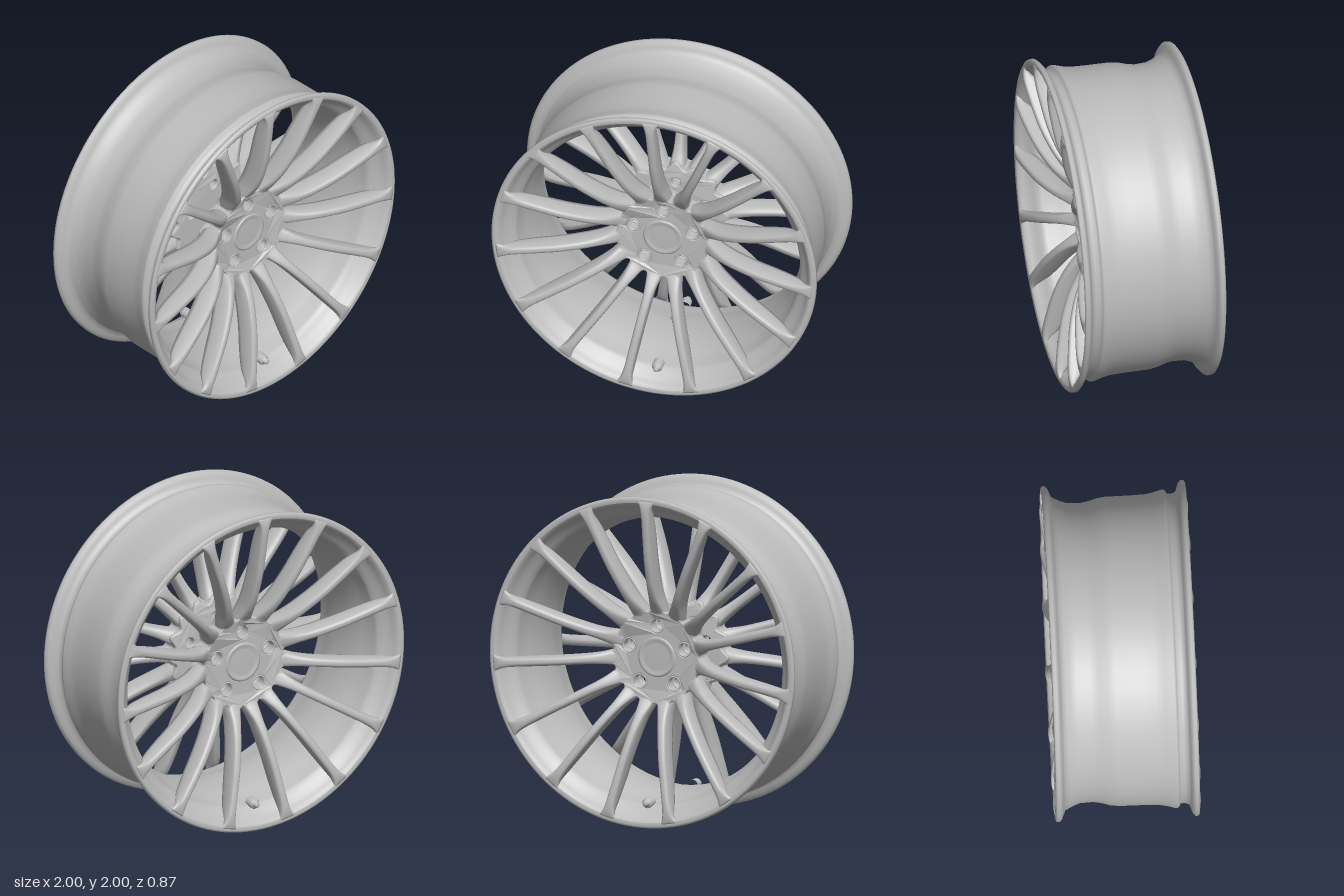
import * as THREE from 'three';

const V2 = (x, y) => new THREE.Vector2(x, y);
const metal = new THREE.MeshStandardMaterial({ color: 0xbdbdbd });
metal.name = 'satin grey metal';

const BOLT_CIRCLE = 0.19;
const boltAngles = [0, 1, 2, 3, 4].map((k) => Math.PI / 2 + (k * Math.PI * 2) / 5);

function part(name, geometry) {
  const mesh = new THREE.Mesh(geometry, metal);
  mesh.name = name;
  return mesh;
}

// Profile of [radius, z] pairs, turned around the z axis
function turned(profile, segments) {
  return new THREE.LatheGeometry(profile.map(([r, z]) => V2(r, z)), segments).rotateX(Math.PI / 2);
}

// One spoke along +x: deep rounded sections that sweep forward from hub to lip
function spokeGeometry() {
  const stations = [ // radius, front z, half width, depth
    [0.23, 0.212, 0.046, 0.1], [0.27, 0.23, 0.05, 0.12], [0.31, 0.26, 0.043, 0.135],
    [0.37, 0.3, 0.033, 0.14], [0.46, 0.343, 0.029, 0.14], [0.6, 0.388, 0.028, 0.135],
    [0.75, 0.417, 0.028, 0.125], [0.87, 0.434, 0.029, 0.1], [0.935, 0.436, 0.036, 0.045],
    [0.975, 0.429, 0.055, 0.022],
  ];
  const path = new THREE.CatmullRomCurve3(
    stations.map(([r, z, w]) => new THREE.Vector3(r, z, w)), false, 'catmullrom');
  const depths = new THREE.CatmullRomCurve3(
    stations.map((s) => new THREE.Vector3(s[3], 0, 0)), false, 'catmullrom');
  const half = [[0.95, 0.75], [1, 0.4], [0.9, 0.12], [0.65, 0.03], [0.25, 0]];
  const loop = [
    ...half,
    ...half.map(([y, k]) => [-y, k]).reverse(),
    [-0.6, 1], [0.6, 1],
  ];
  const n = loop.length, steps = 36, pos = [], index = [];
  for (let i = 0; i <= steps; i++) {
    const p = path.getPoint(i / steps), d = depths.getPoint(i / steps).x;
    for (const [y, k] of loop) pos.push(p.x, y * p.z, p.y - k * d);
  }
  for (let i = 0; i < steps; i++) {
    for (let j = 0; j < n; j++) {
      const a = i * n + j, b = i * n + (j + 1) % n;
      index.push(a, b, a + n, b, b + n, a + n);
    }
  }
  for (let j = 1; j < n - 1; j++) {
    const e = steps * n;
    index.push(0, j + 1, j, e, e + j, e + j + 1);
  }
  const g = new THREE.BufferGeometry();
  g.setAttribute('position', new THREE.Float32BufferAttribute(pos, 3));
  g.setIndex(index);
  g.computeVertexNormals();
  return g;
}

// Hub plate with a scalloped edge and five bolt holes, its rim lifted into a shallow bowl
function hubGeometry(base, holeRadius, z, depth, lift) {
  const outline = [];
  for (let i = 0; i < 180; i++) {
    const a = (i / 180) * Math.PI * 2;
    const r = 0.3 + 0.022 * Math.cos(15 * (a - base));
    outline.push(V2(r * Math.cos(a), r * Math.sin(a)));
  }
  const shape = new THREE.Shape(outline);
  for (const a of boltAngles) {
    const hole = new THREE.Path();
    hole.absarc(BOLT_CIRCLE * Math.cos(a), BOLT_CIRCLE * Math.sin(a), holeRadius, 0, Math.PI * 2, true);
    shape.holes.push(hole);
  }
  const g = new THREE.ExtrudeGeometry(shape, {
    depth: depth - 0.02, bevelEnabled: true, bevelThickness: 0.01,
    bevelSize: 0.008, bevelOffset: -0.008, bevelSegments: 2, curveSegments: 24,
  }).translate(0, 0, z + 0.01);
  const p = g.attributes.position;
  for (let i = 0; i < p.count; i++) {
    const rise = Math.max(0, Math.hypot(p.getX(i), p.getY(i)) - 0.24);
    p.setZ(i, p.getZ(i) + rise * lift);
  }
  g.computeVertexNormals();
  return g;
}

// A complete dished face: spokes, hub, cap and valve
function wheelFace(name, base) {
  const face = new THREE.Group();
  face.name = name;
  const spoke = spokeGeometry();
  for (let i = 0; i < 15; i++) {
    const mesh = part('spoke', spoke);
    mesh.rotation.z = base + (i * Math.PI * 2) / 15;
    face.add(mesh);
  }
  face.add(part('hubFront', hubGeometry(base, 0.043, 0.125, 0.087, 0.45)));
  face.add(part('hubBack', hubGeometry(base, 0.029, 0.09, 0.05, 0.2)));

  // Bolt seats
  const seatGeometry = new THREE.TorusGeometry(0.042, 0.006, 8, 28);
  for (const a of boltAngles) {
    const seat = part('boltSeat', seatGeometry);
    seat.position.set(BOLT_CIRCLE * Math.cos(a), BOLT_CIRCLE * Math.sin(a), 0.207);
    face.add(seat);
  }

  // Centre cap with a raised ring around a shallow dish
  face.add(part('centreCap', turned([
    [0.125, 0.2], [0.12, 0.215], [0.11, 0.219], [0.1, 0.215], [0.085, 0.213],
    [0.08, 0.213], [0.04, 0.214], [0, 0.214],
  ], 48)));

  // Valve at the bottom of the rim
  const valve = part('valve', turned([
    [0.032, 0.29], [0.032, 0.345], [0.025, 0.353], [0.018, 0.353],
    [0.016, 0.375], [0.01, 0.38], [0, 0.38],
  ], 16));
  valve.position.y = -0.86;
  face.add(valve);
  return face;
}

export function createModel() {
  const model = new THREE.Group();
  model.name = 'wheel';
  const wheel = new THREE.Group();
  wheel.name = 'wheelBody';
  wheel.position.y = 1;
  model.add(wheel);

  // Outer barrel with lips, bead humps and drop centre
  wheel.add(part('barrel', turned([
    [0.965, -0.425], [0.985, -0.43], [0.998, -0.422], [1, -0.405], [0.985, -0.39],
    [0.96, -0.38], [0.932, -0.368], [0.92, -0.345], [0.908, -0.32], [0.893, -0.28],
    [0.889, -0.2], [0.898, -0.15], [0.913, -0.1], [0.92, -0.05], [0.921, 0.1],
    [0.924, 0.19], [0.934, 0.24], [0.947, 0.285], [0.947, 0.3], [0.938, 0.312],
    [0.921, 0.318], [0.92, 0.345], [0.93, 0.37], [0.96, 0.38],
    [0.985, 0.39], [1, 0.405], [0.998, 0.422], [0.985, 0.43], [0.965, 0.425],
  ], 128)));

  // Inner wall, narrowest at the middle
  const side = [[0.965, 0.425], [0.95, 0.415], [0.942, 0.395], [0.925, 0.37], [0.9, 0.345],
    [0.878, 0.325], [0.868, 0.3], [0.862, 0.25], [0.846, 0.2], [0.829, 0.13], [0.82, 0.05]];
  wheel.add(part('innerWall', turned(
    [...side, ...side.map(([r, z]) => [r, -z]).reverse()], 128)));

  // Matching faces on both sides, with their spokes in line
  const base = THREE.MathUtils.degToRad(91.5);
  wheel.add(wheelFace('frontFace', base));
  const back = wheelFace('backFace', Math.PI - base);
  back.rotation.y = Math.PI;
  wheel.add(back);

  // Sensor stem inside the barrel
  const stem = part('innerStem', new THREE.CylinderGeometry(0.014, 0.018, 0.05, 14));
  stem.position.set(0, -0.805, -0.07);
  const knob = part('innerStemHead', new THREE.CylinderGeometry(0.028, 0.028, 0.02, 16));
  knob.position.set(0, -0.78, -0.07);
  wheel.add(stem, knob);
  return model;
}
